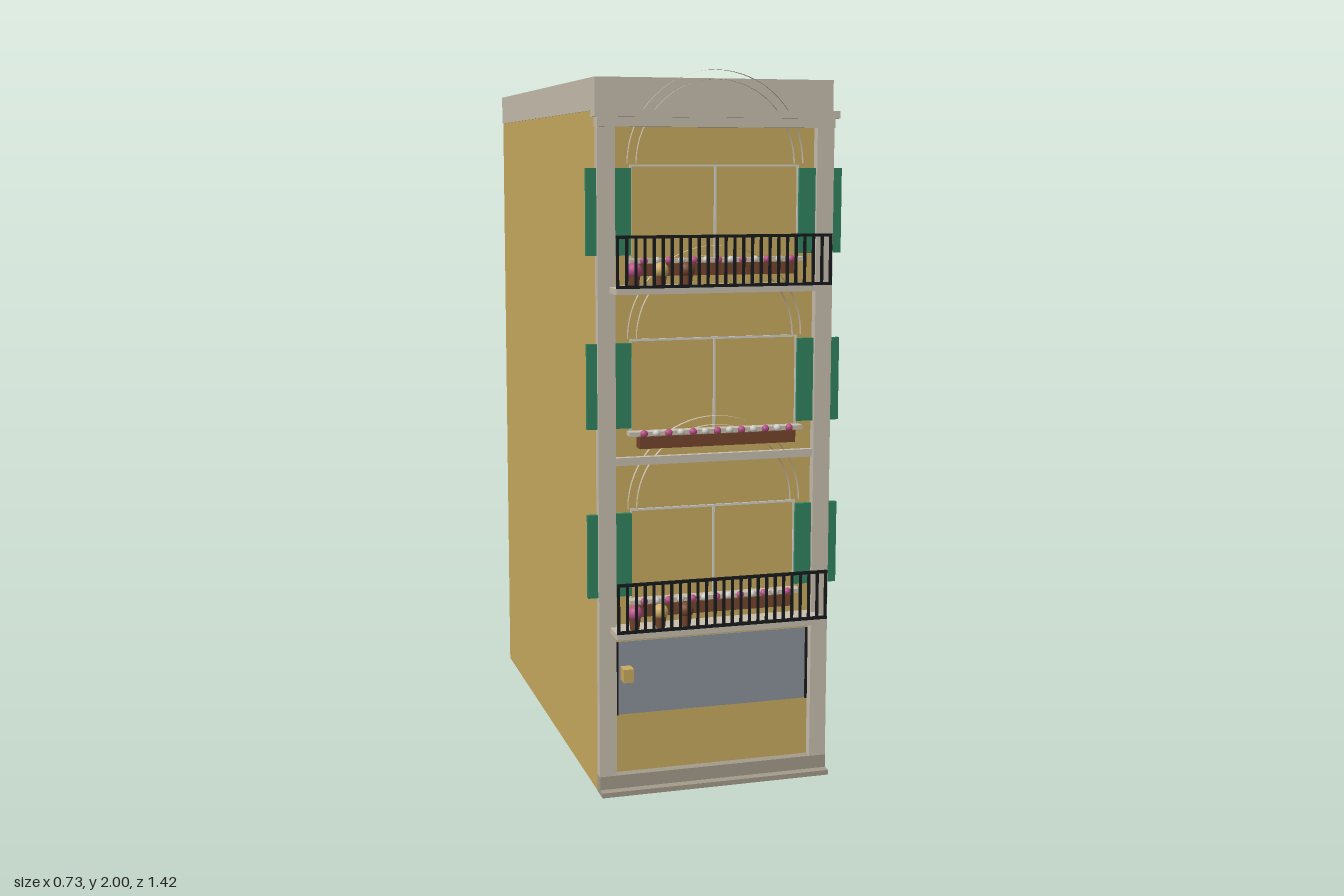
import * as THREE from 'three';

const mat = (name, color, side = THREE.FrontSide) => {
  const m = new THREE.MeshStandardMaterial({ color, side });
  m.name = name;
  return m;
};

export function createModel() {
  const wall = mat('ochre wall', 0xc9ab61);
  const stone = mat('pale stone', 0xc8bfae, THREE.DoubleSide);
  const plinth = mat('grey plinth', 0xa49b8b);
  const green = mat('shutter green', 0x2f8460);
  const slate = mat('slate blue', 0x8a929b);
  const brown = mat('terracotta brown', 0x74452c);
  const pink = mat('flower pink', 0xb94f86);
  const iron = mat('black iron', 0x17191b);
  const white = mat('frame white', 0xd2d0ca);

  const model = new THREE.Group();
  const add = (parent, name, geometry, material, x = 0, y = 0, z = 0) => {
    const mesh = new THREE.Mesh(geometry, material);
    mesh.name = name;
    mesh.position.set(x, y, z);
    parent.add(mesh);
    return mesh;
  };
  // Box given by its limits on each axis
  const box = (parent, name, material, [x0, x1], [y0, y1], [z0, z1]) =>
    add(parent, name, new THREE.BoxGeometry(x1 - x0, y1 - y0, z1 - z0), material,
      (x0 + x1) / 2, (y0 + y1) / 2, (z0 + z1) / 2);
  const group = (name, y = 0) => {
    const g = new THREE.Group();
    g.name = name;
    g.position.y = y;
    model.add(g);
    return g;
  };

  // Main block
  box(model, 'body', wall, [-0.335, 0.335], [0, 1.89], [-0.71, 0.61]);

  // Parapet on three sides, open at the back
  for (const s of [-1, 1]) {
    const xs = s < 0 ? [-0.338, -0.304] : [0.304, 0.338];
    box(model, 'sideParapet', stone, xs, [1.888, 1.975], [-0.71, 0.62]);
    const px = s < 0 ? [-0.336, -0.287] : [0.287, 0.336];
    box(model, 'pilaster', stone, px, [0.05, 1.845], [0.608, 0.636]);
  }
  box(model, 'frontParapet', stone, [-0.304, 0.304], [1.888, 1.975], [0.57, 0.62]);

  // Cornice, string courses and base
  box(model, 'upperCornice', stone, [-0.346, 0.346], [1.87, 1.89], [0.6, 0.652]);
  box(model, 'lowerCornice', stone, [-0.337, 0.337], [1.845, 1.87], [0.6, 0.64]);
  for (const y of [0.455, 0.93, 1.4])
    box(model, 'stringCourse', stone, [-0.287, 0.287], [y, y + 0.022], [0.605, 0.628]);
  box(model, 'basePanel', plinth, [-0.336, 0.336], [0.014, 0.052], [0.605, 0.638]);
  box(model, 'baseStep', plinth, [-0.336, 0.336], [0, 0.014], [0.605, 0.664]);

  // Entrance panel with its edge strips and wall lamp
  box(model, 'entrance', slate, [-0.285, 0.285], [0.22, 0.43], [0.606, 0.613]);
  for (const s of [-1, 1])
    add(model, 'entranceEdge', new THREE.BoxGeometry(0.006, 0.21, 0.012), iron, s * 0.281, 0.325, 0.613);
  box(model, 'lamp', wall, [-0.27, -0.241], [0.322, 0.36], [0.61, 0.651]);

  // Three storeys, measured from the top of each window
  [0.806, 1.276, 1.746].forEach((top, i) => {
    const w = group('window', top);
    for (const s of [-1, 1]) {
      add(w, 'frameSide', new THREE.BoxGeometry(0.005, 0.26, 0.006), white, s * 0.239, -0.13, 0.612);
      const sx = s < 0 ? [-0.364, -0.24] : [0.24, 0.364];
      box(w, 'shutter', green, sx, [-0.243, -0.01], [0.611, 0.625]);
    }
    box(w, 'frameTop', white, [-0.241, 0.241], [-0.006, 0], [0.609, 0.615]);
    box(w, 'mullion', white, [-0.003, 0.003], [-0.26, 0], [0.609, 0.615]);
    box(w, 'sill', stone, [-0.25, 0.25], [-0.264, -0.252], [0.608, 0.645]);

    // Arch over the window: two thin open half rings, without front faces
    for (const r of [0.225, 0.25]) {
      const arch = add(w, 'arch',
        new THREE.CylinderGeometry(r, r, 0.012, 32, 1, true, Math.PI / 2, Math.PI), stone, 0, 0.002, 0.62);
      arch.rotation.x = Math.PI / 2;
    }

    // Flower box
    box(w, 'flowerBox', brown, [-0.225, 0.225], [-0.297, -0.264], [0.62, 0.655]);
    for (let k = 0; k < 13; k++)
      add(w, 'blossom', new THREE.SphereGeometry(0.011, 8, 6), k % 2 ? white : pink,
        -0.21 + k * 0.035, -0.257, 0.645);

    // Balcony with railing and potted plants
    if (i === 1) return;
    const b = group('balcony', top - 0.326);
    box(b, 'slab', stone, [-0.304, 0.304], [-0.016, 0], [0.608, 0.712]);
    box(b, 'topRail', iron, [-0.304, 0.304], [0.132, 0.14], [0.706, 0.714]);
    box(b, 'bottomRail', iron, [-0.304, 0.304], [0, 0.008], [0.706, 0.714]);
    for (let k = 0; k <= 24; k++)
      add(b, 'baluster', new THREE.BoxGeometry(0.007, 0.14, 0.007), iron, -0.3 + k * 0.025, 0.07, 0.71);
    [pink, wall, brown].forEach((color, k) => {
      const x = -0.244 + k * 0.0735;
      add(b, 'pot', new THREE.CylinderGeometry(0.017, 0.013, 0.035, 12), brown, x, 0.0175, 0.67);
      add(b, 'plant', new THREE.SphereGeometry(0.022, 14, 10), color, x, 0.045, 0.67);
    });
  });

  return model;
}
